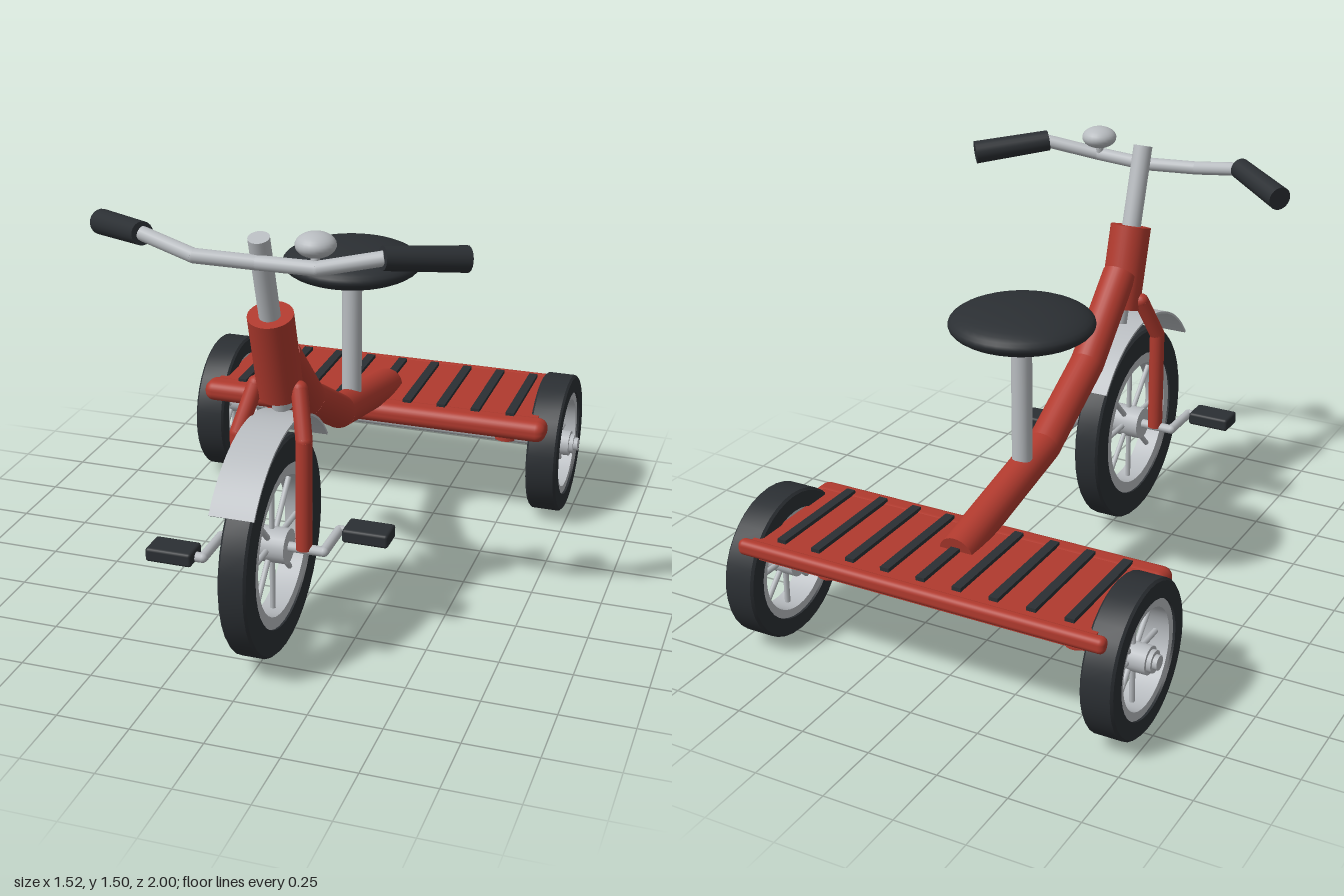
import * as THREE from 'three';
import { toCreasedNormals } from 'three/addons/utils/BufferGeometryUtils.js';
import { RoundedBoxGeometry } from 'three/addons/geometries/RoundedBoxGeometry.js';

const red = new THREE.MeshStandardMaterial({ color: 0xb03a2e });
const dark = new THREE.MeshStandardMaterial({ color: 0x2b2f33 });
const steel = new THREE.MeshStandardMaterial({ color: 0xb8bcc0 });

const V = (x, y, z) => new THREE.Vector3(x, y, z);

function add(parent, name, geometry, material, x = 0, y = 0, z = 0) {
  const mesh = new THREE.Mesh(geometry, material);
  mesh.name = name;
  mesh.position.set(x, y, z);
  parent.add(mesh);
  return mesh;
}

// Straight round bar from a to b
function bar(parent, name, a, b, r, material, sides = 20, rEnd = r) {
  const d = b.clone().sub(a);
  const mesh = add(parent, name, new THREE.CylinderGeometry(rEnd, r, d.length(), sides), material);
  mesh.position.copy(a).addScaledVector(d, 0.5);
  mesh.quaternion.setFromUnitVectors(V(0, 1, 0), d.normalize());
  return mesh;
}

// Bent pipe: straight bars joined by balls at the bends
function pipe(parent, name, points, r, material, sides = 20) {
  const group = new THREE.Group();
  group.name = name;
  parent.add(group);
  for (let i = 1; i < points.length; i++) {
    bar(group, name + 'Section', points[i - 1], points[i], r, material, sides);
    if (i < points.length - 1) {
      add(group, name + 'Bend', new THREE.SphereGeometry(r, sides, 12), material).position.copy(points[i]);
    }
  }
  return group;
}

// Closed ring around the x axis from a (radius, x) profile
function ring(parent, name, profile, material, segments = 36) {
  const points = [...profile, profile[0]].map(([r, x]) => new THREE.Vector2(r, x));
  const geometry = toCreasedNormals(new THREE.LatheGeometry(points, segments), 0.6);
  return add(parent, name, geometry.rotateZ(-Math.PI / 2), material);
}

// Spoked wheel with its axle along x
function wheel(parent, name, x, y, z, R, tyreInner, rimInner, half, hubR, hubHalf) {
  const group = new THREE.Group();
  group.name = name;
  group.position.set(x, y, z);
  parent.add(group);
  const c = 0.008;
  ring(group, 'tyre', [[tyreInner, -half], [R - c, -half], [R, -half + c],
    [R, half - c], [R - c, half], [tyreInner, half]], dark);
  const h = half * 0.85;
  ring(group, 'rim', [[rimInner, -h], [tyreInner + 0.002, -h], [tyreInner + 0.002, h], [rimInner, h]], steel);
  bar(group, 'hub', V(-hubHalf, 0, 0), V(hubHalf, 0, 0), hubR, steel, 24);
  for (let i = 0; i < 8; i++) {
    const a = i * Math.PI / 4, cy = Math.cos(a), cz = Math.sin(a);
    bar(group, 'spoke', V(0, cy * hubR * 0.8, cz * hubR * 0.8),
      V(0, cy * (rimInner + 0.01), cz * (rimInner + 0.01)), 0.01, steel, 8);
  }
}

export function createModel() {
  const model = new THREE.Group();
  model.name = 'tricycle';
  const fy = 0.38, fz = 0.625, ry = 0.265, rz = -0.735;

  // Wheels
  wheel(model, 'frontWheel', 0, fy, fz, 0.375, 0.28, 0.238, 0.047, 0.06, 0.06);
  for (const s of [-1, 1]) {
    wheel(model, s > 0 ? 'leftRearWheel' : 'rightRearWheel', s * 0.667, ry, rz, 0.265, 0.2, 0.17, 0.057, 0.048, 0.062);
    bar(model, 'axleWasher', V(s * 0.73, ry, rz), V(s * 0.745, ry, rz), 0.038, steel);
  }
  bar(model, 'rearAxle', V(-0.76, ry, rz), V(0.76, ry, rz), 0.025, steel);

  // Main frame and steering head
  pipe(model, 'frameTube', [V(0, 1.02, 0.52), V(0, 0.76, 0.26), V(0, 0.57, -0.08), V(0, 0.437, -0.69)], 0.062, red, 28);
  bar(model, 'headTube', V(0, 0.885, 0.525), V(0, 1.18, 0.612), 0.075, red, 32);
  bar(model, 'steeringStem', V(0, 0.83, 0.51), V(0, 1.462, 0.705), 0.035, steel, 24);

  // Fork, cranks and pedals; the two cranks point opposite ways
  for (const s of [-1, 1]) {
    pipe(model, s > 0 ? 'leftForkLeg' : 'rightForkLeg',
      [V(s * 0.075, 0.915, 0.555), V(s * 0.113, 0.765, 0.622), V(s * 0.112, 0.38, fz)], 0.028, red, 16);
    add(model, 'forkTop', new THREE.SphereGeometry(0.028, 16, 12), red, s * 0.075, 0.915, 0.555);
    const pz = fz - s * 0.163;
    pipe(model, s > 0 ? 'leftCrank' : 'rightCrank',
      [V(0, fy, fz), V(s * 0.18, fy, fz), V(s * 0.18, fy, pz), V(s * 0.22, fy, pz)], 0.017, steel, 12);
    add(model, 'pedal', new RoundedBoxGeometry(0.16, 0.048, 0.1, 2, 0.01), dark, s * 0.283, fy + 0.005, pz);
  }

  // Mudguard: a thin arc concentric with the front wheel
  const guard = new THREE.Shape();
  const half = 0.94, mid = Math.PI / 2;
  guard.absarc(0, 0, 0.443, mid - half, mid + half, false);
  guard.absarc(0, 0, 0.435, mid + half, mid - half, true);
  const guardGeometry = new THREE.ExtrudeGeometry(guard, { depth: 0.15, bevelEnabled: false, curveSegments: 24 });
  guardGeometry.translate(0, 0, -0.075).rotateY(Math.PI / 2);
  add(model, 'mudguard', toCreasedNormals(guardGeometry, 0.6), steel, 0, fy, fz);

  // Handlebar, grips and bell
  const side = [V(0.2, 1.395, 0.742), V(0.395, 1.432, 0.69)];
  const mirror = (p) => V(-p.x, p.y, p.z);
  pipe(model, 'handlebar', [mirror(side[1]), mirror(side[0]), V(0, 1.388, 0.725), side[0], side[1]], 0.024, steel);
  for (const s of [-1, 1]) {
    bar(model, s > 0 ? 'leftGrip' : 'rightGrip', V(s * 0.39, 1.433, 0.695), V(s * 0.61, 1.4, 0.525), 0.038, dark, 20, 0.042);
  }
  add(model, 'bell', new THREE.SphereGeometry(0.064, 24, 16), steel, 0.19, 1.465, 0.725).scale.y = 0.62;
  bar(model, 'bellMount', V(0.19, 1.39, 0.735), V(0.19, 1.45, 0.725), 0.014, steel, 12);

  // Seat
  bar(model, 'seatPost', V(0, 0.53, -0.235), V(0, 1.08, -0.235), 0.036, steel, 24);
  add(model, 'seat', new THREE.SphereGeometry(0.25, 40, 20), dark, 0, 1.09, -0.23).scale.y = 0.275;

  // Rear platform with rails, grip strips and axle brackets
  add(model, 'platform', new THREE.BoxGeometry(1.28, 0.065, 0.45), red, 0, 0.415, -0.725);
  add(model, 'frontRail', new RoundedBoxGeometry(1.36, 0.08, 0.1, 4, 0.035), red, 0, 0.41, -0.495);
  add(model, 'backRail', new RoundedBoxGeometry(1.36, 0.055, 0.046, 4, 0.02), red, 0, 0.422, -0.953);
  for (let i = -4; i <= 4; i++) {
    add(model, 'gripStrip', new THREE.BoxGeometry(0.033, 0.02, 0.415), dark, i * 0.134, 0.451, -0.71);
  }
  for (const s of [-1, 1]) {
    bar(model, 'axleBracket', V(s * 0.475, 0.255, rz), V(s * 0.475, 0.4, rz), 0.045, red, 24);
  }
  return model;
}
